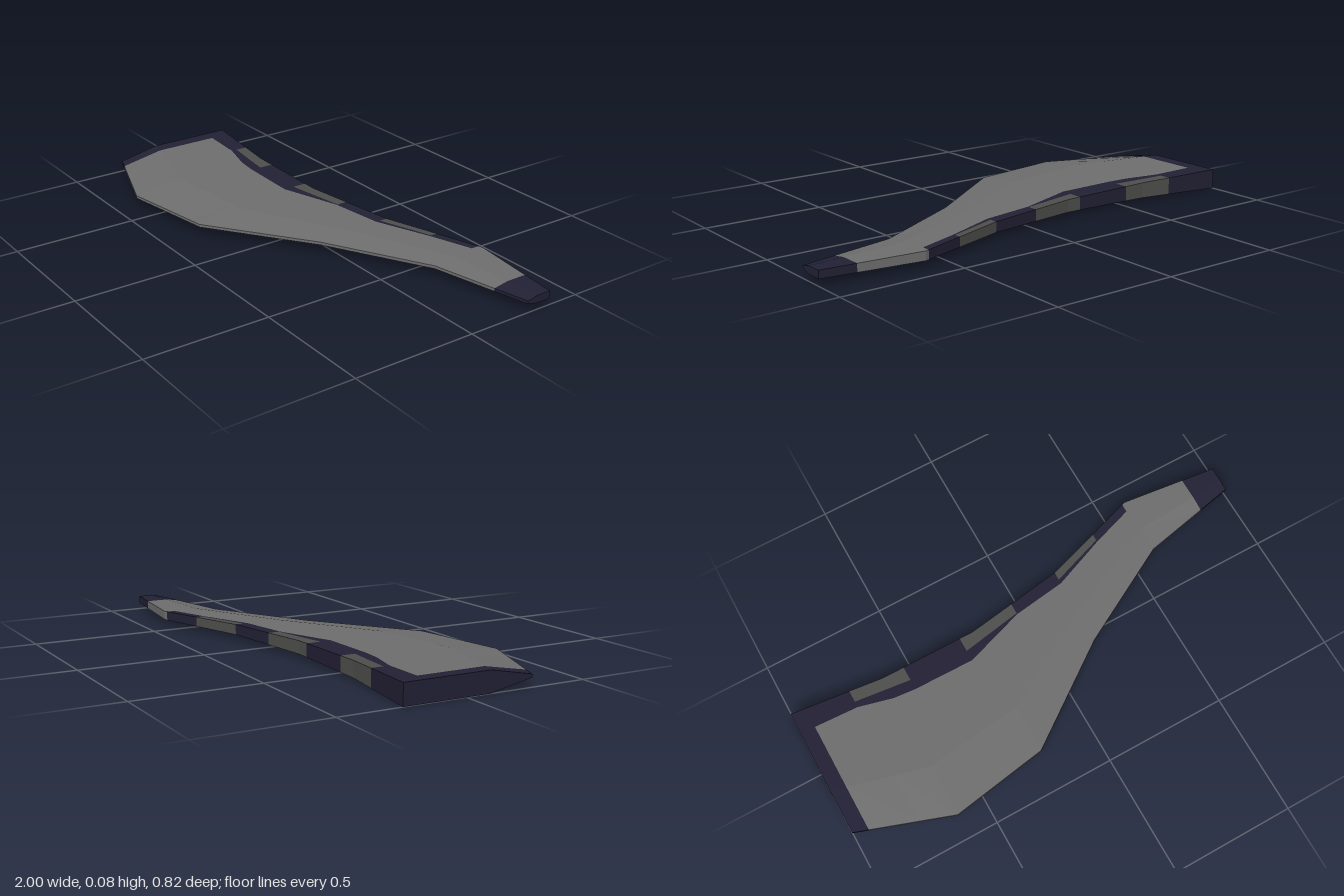
import * as THREE from 'three';

// Piecewise-linear lookup in a list of [x, value]
function sample(list, x) {
  for (let i = 1; i < list.length; i++) {
    const [x0, v0] = list[i - 1], [x1, v1] = list[i];
    if (x <= x1) return v0 + (v1 - v0) * (x - x0) / (x1 - x0);
  }
  return list[list.length - 1][1];
}

// Outline lines along the blade (z against x)
const spine = [[-1, -0.25], [-0.62, -0.21], [-0.22, -0.21], [0.19, -0.275], [0.6, -0.41], [1, -0.365]];
const edge = [[-1, 0.275], [-0.62, 0.41], [-0.22, 0.345], [0.19, 0.05], [0.6, -0.175], [1, -0.26]];
const ridge = [[-1, 0.1], [-0.62, 0.2], [-0.22, 0.15], [0.19, -0.08], [0.6, -0.27], [1, -0.305]];
const border = [[-1, -0.16], [-0.76, -0.15], [-0.62, -0.115], [-0.53, -0.107], [-0.28, -0.105],
  [-0.03, -0.19], [0.19, -0.222], [0.41, -0.31], [0.585, -0.37], [1, -0.345]];
const inlay = [[-1, -0.2], [-0.76, -0.175], [-0.53, -0.15], [-0.28, -0.15], [-0.03, -0.195],
  [0.19, -0.24], [0.41, -0.318], [0.585, -0.385], [1, -0.355]];
// Half thickness against x
const half = [[-1, 0.041], [-0.62, 0.032], [-0.22, 0.026], [0.19, 0.021], [0.6, 0.018], [1, 0.0155]];
const MID = 0.042;

// Closed cross-section: over the top from spine to edge, back underneath
function section(x) {
  const h = sample(half, x);
  const top = [[spine, h], [inlay, h], [border, h], [ridge, h], [edge, 0.006]]
    .map(([line, y]) => [sample(line, x), y]);
  const bottom = top.map(([z, y]) => [z, -y]).reverse();
  return [...top, ...bottom].map(([z, y]) => new THREE.Vector3(x, MID + y, z));
}

export function createModel() {
  const group = new THREE.Group();
  group.name = 'blade';
  const parts = {
    steelBody: { color: 0x6e6e6e, name: 'steelGrey', points: [] },
    darkTrim: { color: 0x222034, name: 'darkNavy', points: [] },
    spineInlays: { color: 0x4e4f4c, name: 'inlayGrey', points: [] },
  };
  const tri = (part, a, b, c) => {
    for (const p of [a, b, c]) parts[part].points.push(p.x, p.y, p.z);
  };

  // Lengthwise segments: [end x, kind]
  const segments = [[-0.94, 'cap'], [-0.76, 'trim'], [-0.62, 'inlay'], [-0.53, 'inlay'], [-0.28, 'trim'],
    [-0.22, 'inlay'], [-0.03, 'inlay'], [0.19, 'trim'], [0.41, 'inlay'], [0.585, 'trim'],
    [0.6, 'plain'], [0.86, 'plain'], [1, 'cap']];
  const partFor = (kind, j) => {
    if (kind === 'cap') return 'darkTrim';
    const onSpine = j === 0 || j >= 8, onBorder = j === 1 || j === 7;
    if (kind === 'plain' || !(onSpine || onBorder)) return 'steelBody';
    return kind === 'inlay' && onSpine ? 'spineInlays' : 'darkTrim';
  };
  let prev = section(-1);
  const start = prev;
  for (const [x, kind] of segments) {
    const next = section(x);
    for (let j = 0; j < 10; j++) {
      const k = (j + 1) % 10, part = partFor(kind, j);
      tri(part, prev[j], prev[k], next[k]);
      tri(part, prev[j], next[k], next[j]);
    }
    prev = next;
  }

  // End faces
  for (let j = 1; j < 9; j++) {
    tri('darkTrim', start[0], start[j + 1], start[j]);
    tri('darkTrim', prev[0], prev[j], prev[j + 1]);
  }

  for (const [name, { color, name: matName, points }] of Object.entries(parts)) {
    const geometry = new THREE.BufferGeometry();
    geometry.setAttribute('position', new THREE.Float32BufferAttribute(points, 3));
    geometry.computeVertexNormals();
    const material = new THREE.MeshStandardMaterial({ color });
    material.name = matName;
    const mesh = new THREE.Mesh(geometry, material);
    mesh.name = name;
    group.add(mesh);
  }
  return group;
}
